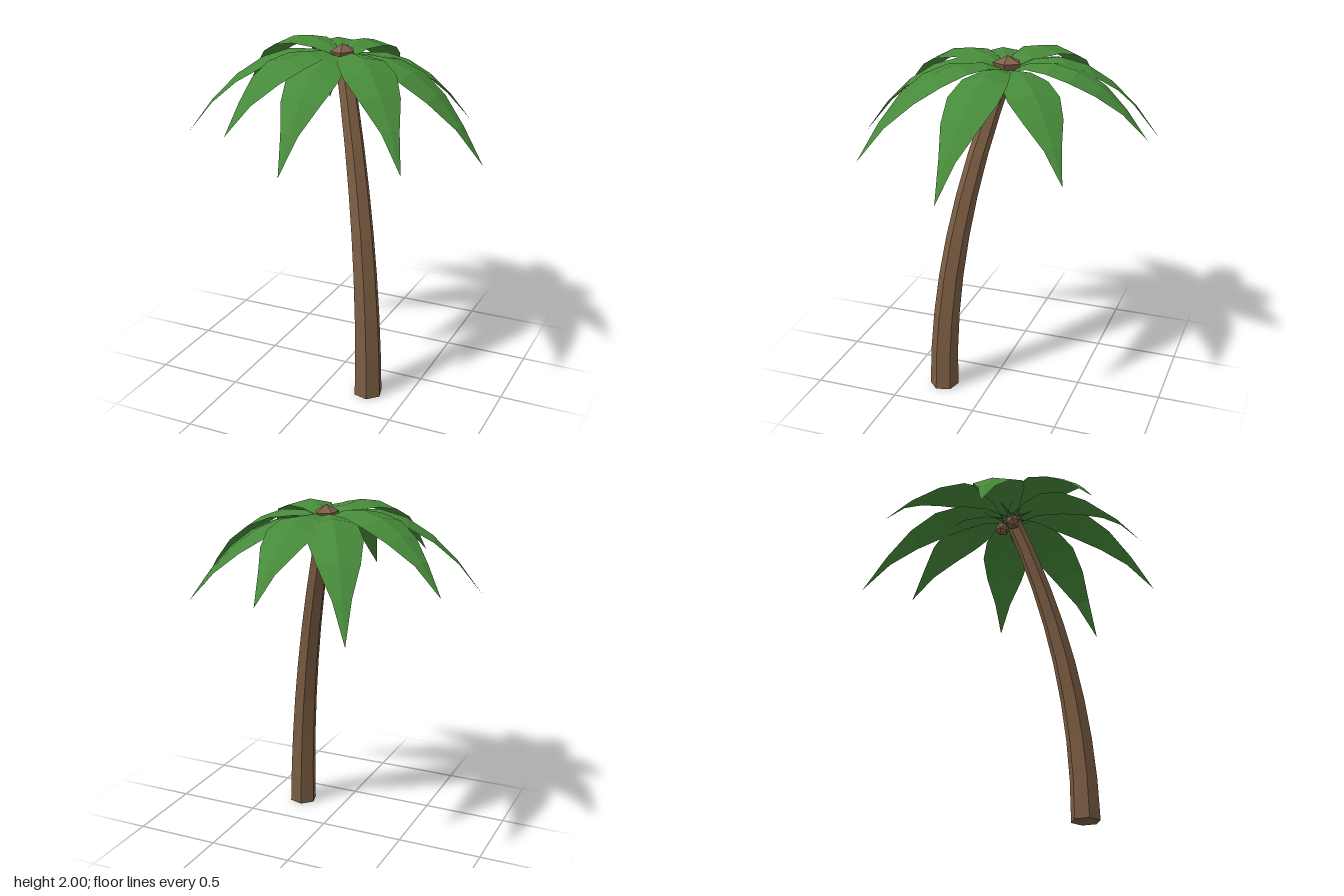
import * as THREE from 'three';

const flat = (name, color, side = THREE.FrontSide) => {
  const m = new THREE.MeshStandardMaterial({ color, flatShading: true, side });
  m.name = name;
  return m;
};

// Point where the fronds meet
const CROWN = new THREE.Vector3(-0.03, 1.91, -0.03);
const BASE = 0.27;

// Six-sided trunk, tapering and bending towards the crown
function trunkGeometry() {
  const height = 1.93;
  const g = new THREE.CylinderGeometry(0.049, 0.085, height, 6, 8, false, Math.PI / 12);
  g.translate(0, height / 2, 0);
  const p = g.attributes.position;
  for (let i = 0; i < p.count; i++) {
    const t = p.getY(i) / height;
    const bend = BASE + (CROWN.x - BASE) * t * t;
    p.setX(i, p.getX(i) + bend);
    p.setZ(i, p.getZ(i) + bend);
  }
  g.computeVertexNormals();
  return g;
}

// Half width of a frond from its root to its tip
const WIDTHS = [0.04, 0.085, 0.135, 0.148, 0.113, 0.05, 0];

// Arched frond along +z with a raised middle rib
function frondGeometry(length, drop) {
  const rows = WIDTHS.length - 1;
  const curve = 1.15;
  const rise = drop / length + curve * length;
  const g = new THREE.PlaneGeometry(1, 1, 2, rows);
  const p = g.attributes.position;
  for (let i = 0; i < p.count; i++) {
    const row = Math.floor(i / 3);
    const across = (i % 3) - 1;
    const r = (row / rows) * length;
    const w = WIDTHS[row];
    p.setXYZ(i, across * w, rise * r - curve * r * r - Math.abs(across) * w * 0.22, r);
  }
  g.computeVertexNormals();
  return g;
}

// Frond tips: x, y, z
const TIPS = [
  [0, 1.6, -0.84], [0.57, 1.5, -0.53], [0.84, 1.42, 0.06],
  [0.585, 1.5, 0.62], [0.01, 1.48, 0.84], [-0.355, 1.62, 0.74],
  [-0.84, 1.48, 0.335], [-0.82, 1.62, -0.36], [-0.49, 1.45, -0.82],
];

// Coconut centres under the crown
const NUTS = [[0.055, 1.85, -0.05], [-0.04, 1.86, -0.09], [-0.085, 1.85, 0.015]];

export function createModel() {
  const bark = flat('bark brown', 0x7a5c42);
  const leaf = flat('leaf green', 0x478a3a, THREE.DoubleSide);
  const shell = flat('coconut brown', 0x80604a);

  const palm = new THREE.Group();
  palm.name = 'palmTree';
  const add = (name, geometry, material) => {
    const mesh = new THREE.Mesh(geometry, material);
    mesh.name = name;
    palm.add(mesh);
    return mesh;
  };

  add('trunk', trunkGeometry(), bark);

  TIPS.forEach(([x, y, z], i) => {
    const dx = x - CROWN.x, dz = z - CROWN.z;
    const frond = add(`frond${i + 1}`, frondGeometry(Math.hypot(dx, dz), y - CROWN.y), leaf);
    frond.position.copy(CROWN);
    frond.rotation.y = Math.atan2(dx, dz);
  });

  // Five-sided bud on top of the crown
  const profile = [[0, -0.02], [0.05, -0.01], [0.072, 0.045], [0, 0.085]].map(([r, y]) => new THREE.Vector2(r, y));
  const bud = add('crownBud', new THREE.LatheGeometry(profile, 5, Math.PI / 2), shell);
  bud.position.copy(CROWN);
  bud.scale.set(0.95, 1, 1.2);

  NUTS.forEach((at, i) => {
    const nut = add(`coconut${i + 1}`, new THREE.IcosahedronGeometry(0.046, 0), shell);
    nut.position.set(...at);
    nut.rotation.set(0.4 * i, 0.9 * i, 0.2);
  });

  return palm;
}
